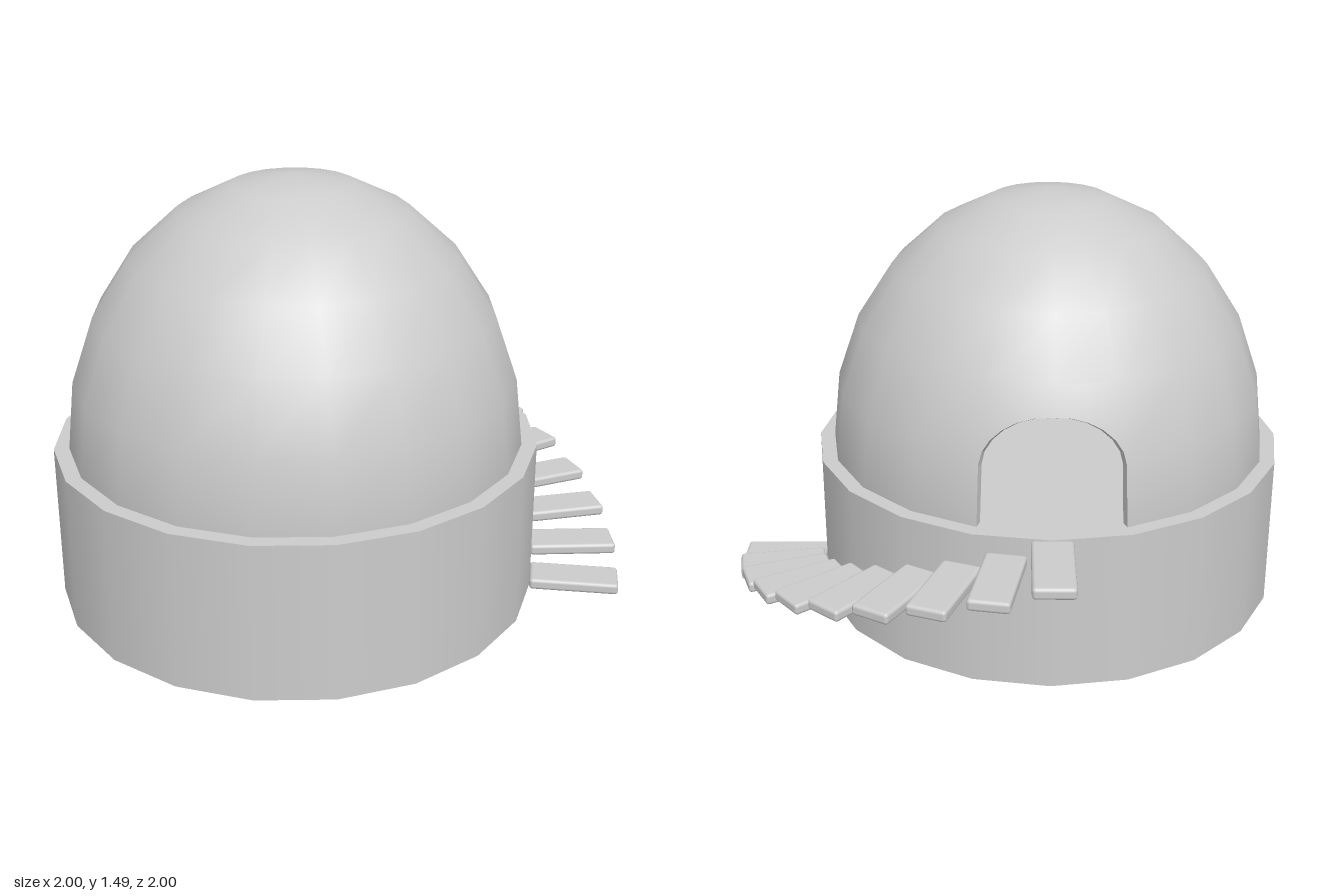
import * as THREE from 'three';
import { RoundedBoxGeometry } from 'three/addons/geometries/RoundedBoxGeometry.js';

const CX = -0.155, CZ = 0.155;          // axis of the round building
const BASE_R = 0.845, BASE_H = 0.548;
const DOME_R = 0.792, DOME_H = 0.937, WALL = 0.035;
const SEG = 18, ROW = 15;               // facet size in degrees
const rad = THREE.MathUtils.degToRad;

// point on the faceted dome; u = degrees round from the back, v = degrees up
function domePoint(u, v, inset) {
  const local = u - Math.floor(u / SEG) * SEG - SEG / 2;
  const chord = Math.cos(rad(SEG / 2)) / Math.cos(rad(local));
  const r = (DOME_R - inset) * Math.cos(rad(v)) * chord;
  return new THREE.Vector3(r * Math.sin(rad(u)), (DOME_H - inset) * Math.sin(rad(v)), -r * Math.cos(rad(u)));
}

// height of the arched doorway in degrees, over u = -18..18
const arch = u => 13 + 10.5 * Math.sqrt(Math.max(0, 1 - (u / SEG) ** 2));
const doorColumns = Array.from({ length: 13 }, (_, k) => (k === 6 ? 0 : -SEG * Math.cos(Math.PI * k / 12)));

// one skin of the dome with the doorway left open
function domeSkin(inset, inward) {
  const pos = [], nor = [];
  const tri = (a, b, c) => {
    for (const p of inward ? [a, c, b] : [a, b, c]) {
      const n = new THREE.Vector3(p.x / DOME_R ** 2, p.y / DOME_H ** 2, p.z / DOME_R ** 2).normalize();
      if (inward) n.negate();
      pos.push(p.x, p.y, p.z);
      nor.push(n.x, n.y, n.z);
    }
  };
  const quad = (u0, u1, low0, low1, high) => {
    const a = domePoint(u1, low1, inset), b = domePoint(u0, low0, inset);
    const c = domePoint(u0, high, inset), d = domePoint(u1, high, inset);
    tri(a, b, c);
    if (high < 90) tri(a, c, d);
  };
  for (let i = -1; i < 19; i++) {
    for (let j = 0; j < 6; j++) {
      if (i < 1 && j < 2) continue;
      quad(i * SEG, (i + 1) * SEG, j * ROW, j * ROW, (j + 1) * ROW);
    }
  }
  // wall above the arch
  for (let k = 0; k < 12; k++) {
    const u0 = doorColumns[k], u1 = doorColumns[k + 1];
    quad(u0, u1, arch(u0), arch(u1), 2 * ROW);
  }
  const g = new THREE.BufferGeometry();
  g.setAttribute('position', new THREE.Float32BufferAttribute(pos, 3));
  g.setAttribute('normal', new THREE.Float32BufferAttribute(nor, 3));
  return g;
}

// thickness of the wall round the doorway
function doorJamb() {
  const path = [[-SEG, 0], ...doorColumns.map(u => [u, arch(u)]), [SEG, 0]];
  const pos = [];
  for (let k = 0; k < path.length - 1; k++) {
    const a = domePoint(...path[k], 0), b = domePoint(...path[k + 1], 0);
    const c = domePoint(...path[k + 1], WALL), d = domePoint(...path[k], WALL);
    for (const p of [a, b, c, a, c, d]) pos.push(p.x, p.y, p.z);
  }
  const g = new THREE.BufferGeometry();
  g.setAttribute('position', new THREE.Float32BufferAttribute(pos, 3));
  g.computeVertexNormals();
  return g;
}

export function createModel() {
  const stone = new THREE.MeshStandardMaterial({ color: 0xcccccc, side: THREE.DoubleSide });
  stone.name = 'paleGrey';
  const model = new THREE.Group();
  model.name = 'domedHut';
  const add = (parent, name, geometry) => {
    const mesh = new THREE.Mesh(geometry, stone);
    mesh.name = name;
    parent.add(mesh);
    return mesh;
  };

  // round base, whose top is also the floor
  add(model, 'base', new THREE.CylinderGeometry(BASE_R, BASE_R, BASE_H, 20)).position.set(CX, BASE_H / 2, CZ);

  // hollow dome with a door at the back
  const dome = new THREE.Group();
  dome.name = 'dome';
  dome.position.set(CX, BASE_H, CZ);
  add(dome, 'domeOuterWall', domeSkin(0, false));
  add(dome, 'domeInnerWall', domeSkin(WALL, true));
  add(dome, 'doorJamb', doorJamb());
  model.add(dome);

  // ten floating steps climbing a quarter turn to the door
  const stairs = new THREE.Group();
  stairs.name = 'stairs';
  stairs.position.set(CX, 0, CZ);
  const stepShape = new RoundedBoxGeometry(0.312, 0.04, 0.138, 2, 0.012);
  for (let i = 0; i < 10; i++) {
    const a = rad(i * 10);
    const step = add(stairs, 'step', stepShape);
    step.position.set(Math.cos(a), 0.035 + i * 0.055, -Math.sin(a));
    step.rotation.y = a;
  }
  model.add(stairs);
  return model;
}
